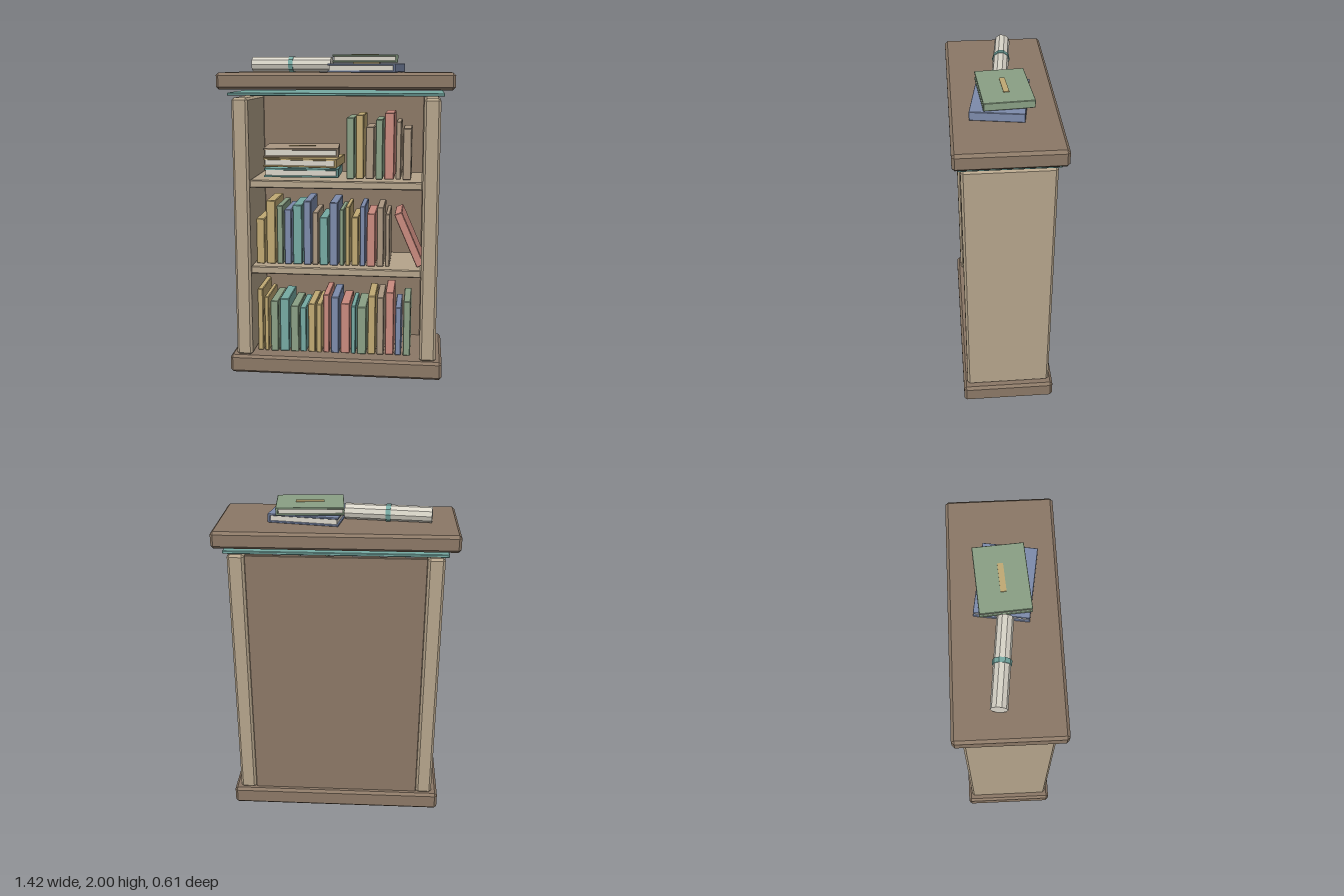
import * as THREE from 'three';
import { ConvexGeometry } from 'three/addons/geometries/ConvexGeometry.js';

const COLOURS = {
  darkWood: 0x8b7866, lightWood: 0xb5a48b, tan: 0xaa9781, green: 0x8aa085, gold: 0xc0a973,
  teal: 0x76aaa3, blue: 0x7d8bab, red: 0xc98a7e, paper: 0xd9d5c9,
};

const mats = {};
for (const [name, hex] of Object.entries(COLOURS)) {
  mats[name] = new THREE.MeshStandardMaterial({ color: hex });
  mats[name].name = name;
}

// Box with every edge cut at 45 degrees
function chamferBox(w, h, d, c) {
  const points = [];
  for (const x of [-1, 1]) for (const y of [-1, 1]) for (const z of [-1, 1]) {
    for (let axis = 0; axis < 3; axis++) {
      const inset = [c, c, c];
      inset[axis] = 0;
      points.push(new THREE.Vector3(x * (w / 2 - inset[0]), y * (h / 2 - inset[1]), z * (d / 2 - inset[2])));
    }
  }
  return new ConvexGeometry(points);
}

function add(parent, name, geometry, colour, x = 0, y = 0, z = 0) {
  const mesh = new THREE.Mesh(geometry, mats[colour]);
  mesh.name = name;
  mesh.position.set(x, y, z);
  parent.add(mesh);
  return mesh;
}

// Lying book: two covers, a spine on +x, inset pages and a label plate
function flatBook(parent, name, colour, w, h, d, x, y, z, turn) {
  const book = new THREE.Group();
  book.name = name;
  book.position.set(x, y, z);
  book.rotation.y = turn;
  const t = 0.011;
  for (const s of [-1, 1]) {
    add(book, 'cover', chamferBox(w, t, d, 0.002), colour, 0, s * (h - t) / 2, 0);
  }
  add(book, 'spine', chamferBox(0.016, h, d, 0.003), colour, w / 2 - 0.007, 0, 0);
  add(book, 'pages', new THREE.BoxGeometry(w - 0.025, h - 2 * t, d - 0.016), 'paper', -0.003, 0, 0);
  add(book, 'label', new THREE.BoxGeometry(0.168, 0.005, 0.032), 'gold', 0, h / 2 + 0.0025, 0);
  parent.add(book);
}

// Standing books per shelf: colour, left, right, top
const ROWS = [
  { floor: 0.115, books: [
    ['gold', -0.51, -0.475, 0.525], ['gold', -0.465, -0.438, 0.475], ['green', -0.425, -0.375, 0.45],
    ['teal', -0.365, -0.306, 0.465], ['green', -0.296, -0.243, 0.42], ['teal', -0.235, -0.195, 0.41],
    ['gold', -0.182, -0.137, 0.437], ['gold', -0.129, -0.095, 0.437], ['red', -0.085, -0.047, 0.5],
    ['blue', -0.034, 0.016, 0.487], ['red', 0.026, 0.084, 0.445], ['teal', 0.093, 0.122, 0.43],
    ['green', 0.132, 0.19, 0.427], ['gold', 0.2, 0.248, 0.5], ['tan', 0.257, 0.301, 0.493],
    ['red', 0.311, 0.364, 0.527], ['blue', 0.374, 0.412, 0.43], ['green', 0.425, 0.47, 0.473],
  ] },
  { floor: 0.695, books: [
    ['gold', -0.508, -0.455, 0.985], ['gold', -0.444, -0.387, 1.1], ['green', -0.376, -0.338, 1.07],
    ['blue', -0.328, -0.284, 1.047], ['teal', -0.275, -0.217, 1.075], ['blue', -0.207, -0.16, 1.102],
    ['tan', -0.152, -0.116, 1.03], ['teal', -0.106, -0.053, 1.0], ['blue', -0.043, 0.01, 1.095],
    ['green', 0.02, 0.047, 1.052], ['gold', 0.057, 0.084, 1.07], ['gold', 0.095, 0.137, 1.005],
    ['blue', 0.147, 0.18, 1.075], ['red', 0.19, 0.243, 1.03], ['tan', 0.253, 0.295, 1.07],
    ['tan', 0.306, 0.333, 1.03],
  ] },
  { floor: 1.245, books: [
    ['green', 0.062, 0.11, 1.62], ['gold', 0.12, 0.168, 1.637], ['tan', 0.18, 0.231, 1.565],
    ['green', 0.241, 0.285, 1.61], ['red', 0.295, 0.354, 1.65], ['tan', 0.364, 0.396, 1.597],
    ['tan', 0.407, 0.459, 1.557],
  ] },
];

export function createModel() {
  const model = new THREE.Group();
  model.name = 'bookcase';

  // Cabinet
  add(model, 'base', chamferBox(1.34, 0.115, 0.57, 0.016), 'darkWood', 0, 0.0575, 0);
  for (const s of [-1, 1]) {
    add(model, 'sidePanel', chamferBox(0.1, 1.63, 0.52, 0.014), 'lightWood', s * 0.58, 0.925, 0);
  }
  add(model, 'backPanel', chamferBox(1.06, 1.63, 0.025, 0.004), 'darkWood', 0, 0.922, -0.237);
  for (const y of [0.67, 1.215]) {
    add(model, 'shelf', chamferBox(1.06, 0.048, 0.47, 0.006), 'lightWood', 0, y, 0.01);
  }
  add(model, 'trim', chamferBox(1.3, 0.018, 0.55, 0.004), 'teal', 0, 1.762, 0);
  add(model, 'top', chamferBox(1.42, 0.1, 0.61, 0.016), 'darkWood', 0, 1.84, 0);

  // Rows of standing books, with slightly varied depths
  ROWS.forEach(({ floor, books }, row) => {
    const group = new THREE.Group();
    group.name = 'bookRow';
    books.forEach(([colour, left, right, top], i) => {
      const depth = 0.3 + 0.015 * (((i * 7 + row * 3) % 5) / 4);
      add(group, 'standingBook', chamferBox(right - left, top - floor, depth, 0.004), colour,
        (left + right) / 2, (floor + top) / 2, 0.02);
    });
    model.add(group);
  });
  const leaning = add(model, 'leaningBook', chamferBox(0.05, 0.36, 0.3, 0.004), 'red', 0.454, 0.868, 0.02);
  leaning.rotation.z = 0.41;

  // Stack lying on the upper shelf
  flatBook(model, 'stackBookLow', 'teal', 0.465, 0.055, 0.31, -0.223, 1.277, 0.02, 0.02);
  flatBook(model, 'stackBookMiddle', 'gold', 0.465, 0.055, 0.31, -0.218, 1.339, 0.02, -0.07);
  flatBook(model, 'stackBookHigh', 'tan', 0.465, 0.055, 0.31, -0.232, 1.402, 0.02, 0.08);

  // Books lying on the top
  flatBook(model, 'topBookLow', 'blue', 0.42, 0.052, 0.305, 0.172, 1.917, 0.015, -0.16);
  flatBook(model, 'topBookHigh', 'green', 0.395, 0.046, 0.284, 0.161, 1.972, -0.007, 0.07);

  // Rolled scroll with a band
  const scroll = new THREE.Group();
  scroll.name = 'scroll';
  scroll.position.set(-0.3, 1.938, -0.026);
  scroll.rotation.y = -0.108;
  for (const [name, radius, length, colour] of [['roll', 0.047, 0.51, 'paper'], ['band', 0.052, 0.028, 'teal']]) {
    const tube = new THREE.CylinderGeometry(radius, radius, length, 10).rotateZ(Math.PI / 2).toNonIndexed();
    tube.computeVertexNormals();
    add(scroll, name, tube, colour);
  }
  model.add(scroll);

  return model;
}
